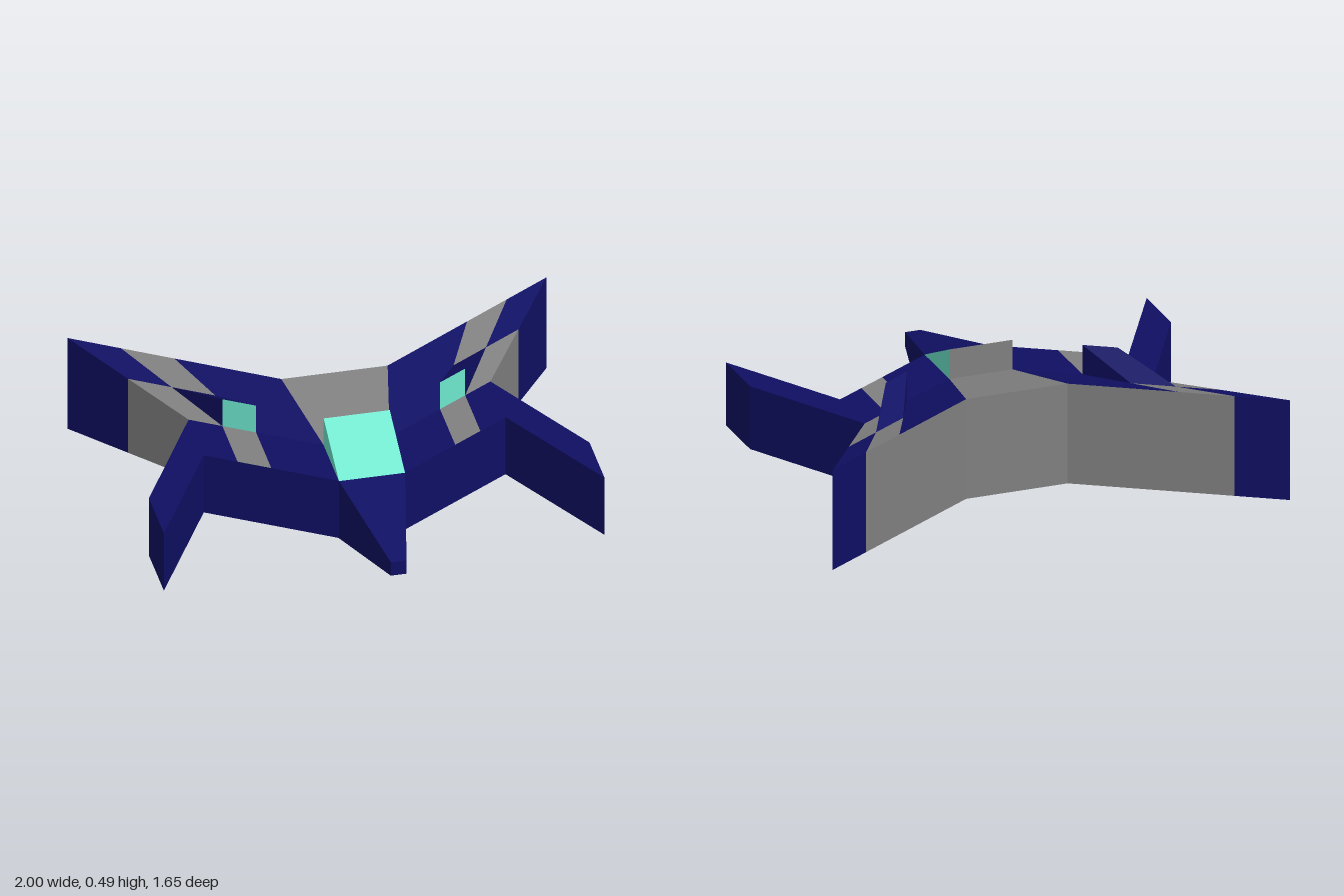
import * as THREE from 'three';

const paint = (name, color) => {
  const m = new THREE.MeshStandardMaterial({ color });
  m.name = name;
  return m;
};

export function createModel() {
  const model = new THREE.Group();
  model.name = 'starship';
  const navy = paint('navy', 0x0f0f64);
  const gray = paint('gray', 0x808080);
  const teal = paint('teal', 0x6ee8ce);

  // Six-sided block. Corners run front-inner, front-outer, back-outer, back-inner,
  // each [x, z, yBottom, yTop]. Faces without a colour join a neighbour and are left out.
  function block(name, corners, colors, mirror = 1) {
    const at = (i, level) => new THREE.Vector3(corners[i][0] * mirror, corners[i][level], corners[i][1]);
    const lo = [0, 1, 2, 3].map((i) => at(i, 2));
    const hi = [0, 1, 2, 3].map((i) => at(i, 3));
    const centre = new THREE.Vector3();
    [...lo, ...hi].forEach((p) => centre.addScaledVector(p, 1 / 8));
    const faces = { top: hi, bottom: lo };
    ['front', 'outer', 'back', 'inner'].forEach((side, i) => {
      const j = (i + 1) % 4;
      faces[side] = [lo[i], lo[j], hi[j], hi[i]];
    });
    const points = [], materials = [];
    const geometry = new THREE.BufferGeometry();
    for (const [side, material] of Object.entries(colors)) {
      let [a, b, c, d] = faces[side];
      const normal = c.clone().sub(a).cross(d.clone().sub(b));
      const middle = a.clone().add(b).add(c).add(d).multiplyScalar(0.25);
      if (normal.dot(middle.sub(centre)) < 0) [b, d] = [d, b];
      geometry.addGroup(points.length, 6, materials.length);
      points.push(a, b, c, a, c, d);
      materials.push(material);
    }
    geometry.setFromPoints(points);
    geometry.computeVertexNormals();
    const mesh = new THREE.Mesh(geometry, materials);
    mesh.name = name;
    model.add(mesh);
  }

  const LOW = 0.083, HIGH = 0.36;
  const flat = (x, z) => [x, z, LOW, HIGH];

  // Fuselage: tapered nose, cockpit section, flared tail
  block('nose', [[-0.033, 0.825, 0.19, 0.255], [0.033, 0.825, 0.19, 0.255], flat(0.138, 0.345), flat(-0.138, 0.345)],
    { front: navy, top: navy, bottom: navy, outer: navy, inner: navy });
  block('cockpitBody', [flat(-0.138, 0.345), flat(0.138, 0.345), flat(0.138, 0.07), flat(-0.138, 0.07)],
    { top: navy, bottom: navy });
  block('tailBody', [flat(-0.138, 0.07), flat(0.138, 0.07), [0.222, -0.33, 0, 0.44], [-0.222, -0.33, 0, 0.44]],
    { top: gray, bottom: gray, back: gray });
  block('canopy', [[-0.138, 0.345, HIGH, HIGH], [0.138, 0.345, HIGH, HIGH],
    [0.138, 0.07, HIGH, 0.49], [-0.138, 0.07, HIGH, 0.49]],
    { top: teal, outer: teal, inner: teal, back: gray });

  const mix = (a, b, t) => a.map((value, i) => value + (b[i] - value) * t);
  const frontEdge = [flat(0.138, 0.07), flat(0.63, -0.24)];
  const backEdge = [[0.222, -0.33, 0, 0.44], [1, -0.825, 0, 0.44]];
  const wingPoint = (u, v) => mix(mix(...frontEdge, u), mix(...backEdge, u), v);
  const spans = [0, 0.5, 0.75, 1], rows = [0, 0.5, 1];

  for (const side of [1, -1]) {
    // Rear wing with a checkered upper surface
    for (let i = 0; i < 3; i++) {
      for (let j = 0; j < 2; j++) {
        const checkered = (i === 1 && j === 1) || (i === 2 && j === 0);
        const tip = i === 2 && j === 1;
        const colors = { top: checkered ? gray : navy, bottom: tip ? navy : gray };
        if (i === 2) colors.outer = tip ? navy : gray;
        if (j === 1) colors.back = tip ? navy : gray;
        const [u, u2, v, v2] = [spans[i], spans[i + 1], rows[j], rows[j + 1]];
        block('rearWing', [wingPoint(u, v), wingPoint(u2, v), wingPoint(u2, v2), wingPoint(u, v2)], colors, side);
      }
      // Forward arm with one gray band on top
      const a = wingPoint(spans[i], 0), b = wingPoint(spans[i + 1], 0);
      block('forwardArm', [flat(a[0], a[1] + 0.273), flat(b[0], b[1] + 0.273), b, a],
        { top: i === 1 ? gray : navy, bottom: navy, front: navy }, side);
    }

    // Swept prong at the end of the arm
    block('prong', [flat(0.92, 0.565), flat(0.92, 0.295), flat(0.63, -0.24), flat(0.63, 0.033)],
      { top: navy, bottom: navy, front: navy, outer: navy, inner: navy }, side);

    // Engine pod with a teal intake, tapering back into the wing
    const raised = (u, v, lift) => {
      const [x, z, , y] = wingPoint(u, v);
      return [x, z, y, y + lift];
    };
    block('enginePod', [raised(0.5, 0, 0.13), raised(0.75, 0, 0.13), raised(0.75, 0.5, 0), raised(0.5, 0.5, 0)],
      { front: teal, top: navy, outer: navy, inner: navy }, side);
  }
  return model;
}
